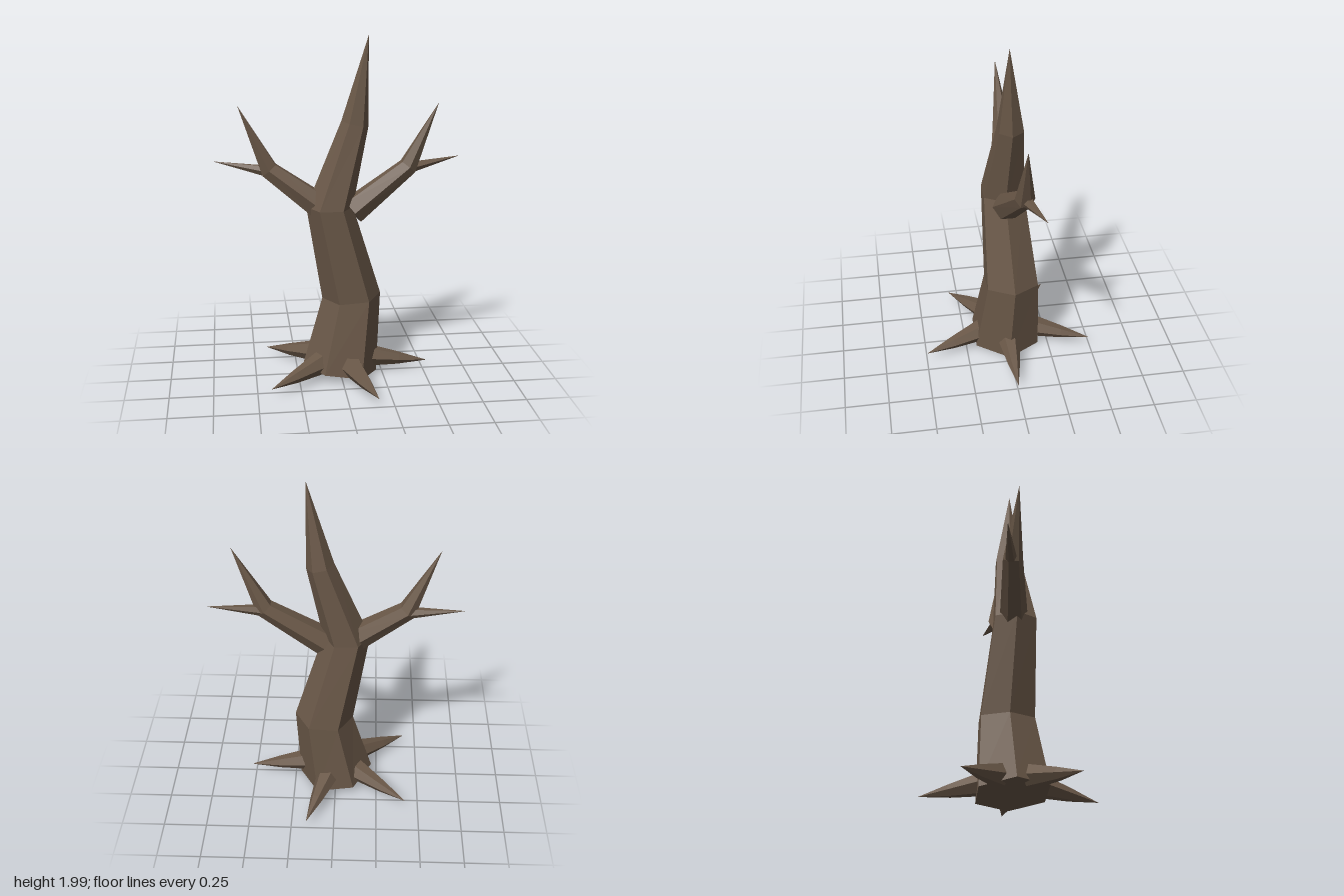
import * as THREE from 'three';

const SIDES = 6;
const bark = new THREE.MeshStandardMaterial({ color: 0x6a5848, flatShading: true });
bark.name = 'bark brown';

// Faceted limb swept through [x, y, z, radius] stations; the last station is a point.
// "side" is the direction in which the first corner of each ring lies.
function limb(name, stations, side) {
  const centres = stations.map(([x, y, z]) => new THREE.Vector3(x, y, z));
  const last = stations.length - 1;
  const rings = centres.map((centre, i) => {
    const along = centres[Math.min(i + 1, last)].clone().sub(centres[Math.max(i - 1, 0)]).normalize();
    const u = side.clone().addScaledVector(along, -side.dot(along)).normalize();
    const v = along.clone().cross(u);
    return Array.from({ length: SIDES }, (_, k) => {
      const a = (k / SIDES) * Math.PI * 2;
      return centre.clone()
        .addScaledVector(u, Math.cos(a) * stations[i][3])
        .addScaledVector(v, Math.sin(a) * stations[i][3]);
    });
  });

  const points = [];
  for (let k = 0; k < SIDES; k++) {
    const n = (k + 1) % SIDES;
    points.push(centres[0], rings[0][n], rings[0][k]); // closed base
    for (let i = 0; i < last; i++) {
      const a = rings[i], b = rings[i + 1];
      if (i === last - 1) points.push(a[k], a[n], centres[last]);
      else points.push(a[k], a[n], b[n], a[k], b[n], b[k]);
    }
  }
  const geometry = new THREE.BufferGeometry().setFromPoints(points);
  geometry.computeVertexNormals();
  const mesh = new THREE.Mesh(geometry, bark);
  mesh.name = name;
  return mesh;
}

export function createModel() {
  const tree = new THREE.Group();
  tree.name = 'bareTree';
  const xAxis = new THREE.Vector3(1, 0, 0);
  const zAxis = new THREE.Vector3(0, 0, 1);

  // Crooked trunk tapering to a spike
  tree.add(limb('trunk', [
    [0, 0.04, 0, 0.22],
    [0.07, 0.48, -0.025, 0.172],
    [-0.06, 1.03, 0.005, 0.134],
    [0.087, 1.505, -0.018, 0.079],
    [0.16, 2, 0, 0],
  ], xAxis));

  // Mirrored forked branches
  for (const [s, label] of [[1, 'left'], [-1, 'right']]) {
    tree.add(limb(label + 'Branch', [
      [s * 0.07, 1.0, 0, 0.083],
      [s * 0.4, 1.245, -0.045, 0.056],
      [s * 0.57, 1.615, -0.03, 0],
    ], zAxis));
    tree.add(limb(label + 'Twig', [
      [s * 0.41, 1.235, -0.055, 0.034],
      [s * 0.715, 1.287, -0.11, 0],
    ], zAxis));
  }

  // Five roots spread evenly around the foot
  for (let i = 0; i < 5; i++) {
    const a = (i / 5) * Math.PI * 2;
    const c = Math.cos(a), d = Math.sin(a);
    tree.add(limb('root' + (i + 1), [
      [c * 0.15, 0.107, d * 0.15, 0.068],
      [c * 0.35, 0.077, d * 0.35, 0.037],
      [c * 0.525, 0.054, d * 0.525, 0],
    ], new THREE.Vector3(-d, 0, c)));
  }
  return tree;
}
